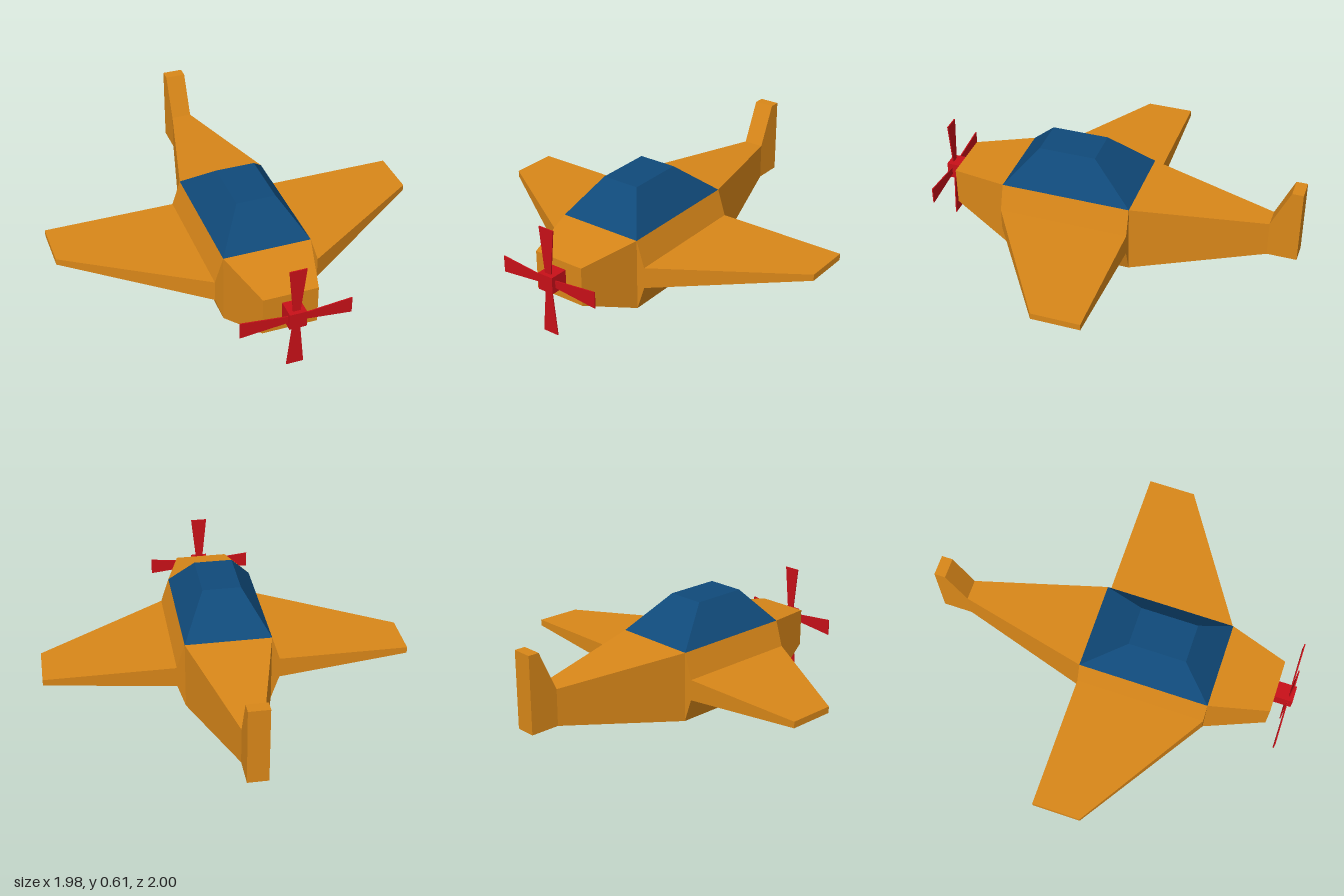
import * as THREE from 'three';

const paint = (color) => new THREE.MeshStandardMaterial({ color, flatShading: true, side: THREE.DoubleSide });

// Joins matching cross-sections into a closed faceted solid with outward faces.
function loft(sections) {
  const tris = [];
  const n = sections[0].length;
  for (let s = 0; s < sections.length - 1; s++) {
    const a = sections[s], b = sections[s + 1];
    for (let i = 0; i < n; i++) {
      const j = (i + 1) % n;
      tris.push([a[i], a[j], b[j]], [a[i], b[j], b[i]]);
    }
  }
  const end = sections[sections.length - 1];
  for (let i = 1; i < n - 1; i++) {
    tris.push([sections[0][0], sections[0][i + 1], sections[0][i]], [end[0], end[i], end[i + 1]]);
  }
  // A negative enclosed volume means the winding must be reversed
  const v = (p) => new THREE.Vector3(...p);
  const volume = tris.reduce((sum, [a, b, c]) => sum + v(a).dot(v(b).cross(v(c))), 0);
  if (volume < 0) tris.forEach((t) => t.reverse());
  const geometry = new THREE.BufferGeometry();
  geometry.setAttribute('position', new THREE.Float32BufferAttribute(tris.flat(2), 3));
  geometry.computeVertexNormals();
  return geometry;
}

// Rectangular sections across each axis
const acrossZ = (z, w, y0, y1) => [[-w, y0, z], [w, y0, z], [w, y1, z], [-w, y1, z]];
const acrossY = (y, w, z0, z1) => [[-w, y, z0], [w, y, z0], [w, y, z1], [-w, y, z1]];
const acrossX = (x, y0, y1, z0, z1) => [[x, y0, z0], [x, y1, z0], [x, y1, z1], [x, y0, z1]];

export function createModel() {
  const model = new THREE.Group();
  model.name = 'airplane';
  const orange = paint(0xd98719);
  const blue = paint(0x104a7a);
  const red = paint(0xc81018);

  const add = (name, geometry, material, parent = model) => {
    const mesh = new THREE.Mesh(geometry, material);
    mesh.name = name;
    parent.add(mesh);
    return mesh;
  };

  // Body from nose to tail
  add('fuselage', loft([
    acrossZ(0.9, 0.145, 0.17, 0.38),
    acrossZ(0.58, 0.235, 0.03, 0.42),
    acrossZ(-0.13, 0.235, 0.03, 0.42),
    acrossZ(-0.84, 0.055, 0.17, 0.37),
    acrossZ(-1, 0.055, 0.17, 0.37),
  ]), orange);
  add('tailFin', loft([acrossY(0.37, 0.055, -1, -0.84), acrossY(0.59, 0.055, -1, -0.94)]), orange);
  add('canopy', loft([acrossY(0.42, 0.235, -0.13, 0.58), acrossY(0.61, 0.105, 0.1, 0.41)]), blue);

  // Wings with their sloping roots
  for (const [side, s] of [['left', 1], ['right', -1]]) {
    add(side + 'WingRoot', loft([
      acrossX(s * 0.235, 0.03, 0.42, -0.13, 0.58),
      acrossX(s * 0.28, 0.165, 0.28, -0.13, 0.58),
    ]), orange);
    add(side + 'Wing', loft([
      acrossX(s * 0.28, 0.165, 0.28, -0.13, 0.58),
      acrossX(s * 0.99, 0.245, 0.28, -0.13, 0.13),
    ]), orange);
  }

  // Propeller: square hub and four thin flared blades
  const propeller = new THREE.Group();
  propeller.name = 'propeller';
  propeller.position.set(0, 0.293, 0.975);
  model.add(propeller);
  add('hub', new THREE.BoxGeometry(0.09, 0.09, 0.1), red, propeller).position.z = -0.025;
  const blade = loft([acrossY(0.03, 0.018, -0.003, 0.003), acrossY(0.292, 0.045, -0.003, 0.003)]);
  for (let i = 0; i < 4; i++) {
    add('blade' + (i + 1), blade, red, propeller).rotation.z = (i * Math.PI) / 2;
  }
  return model;
}
